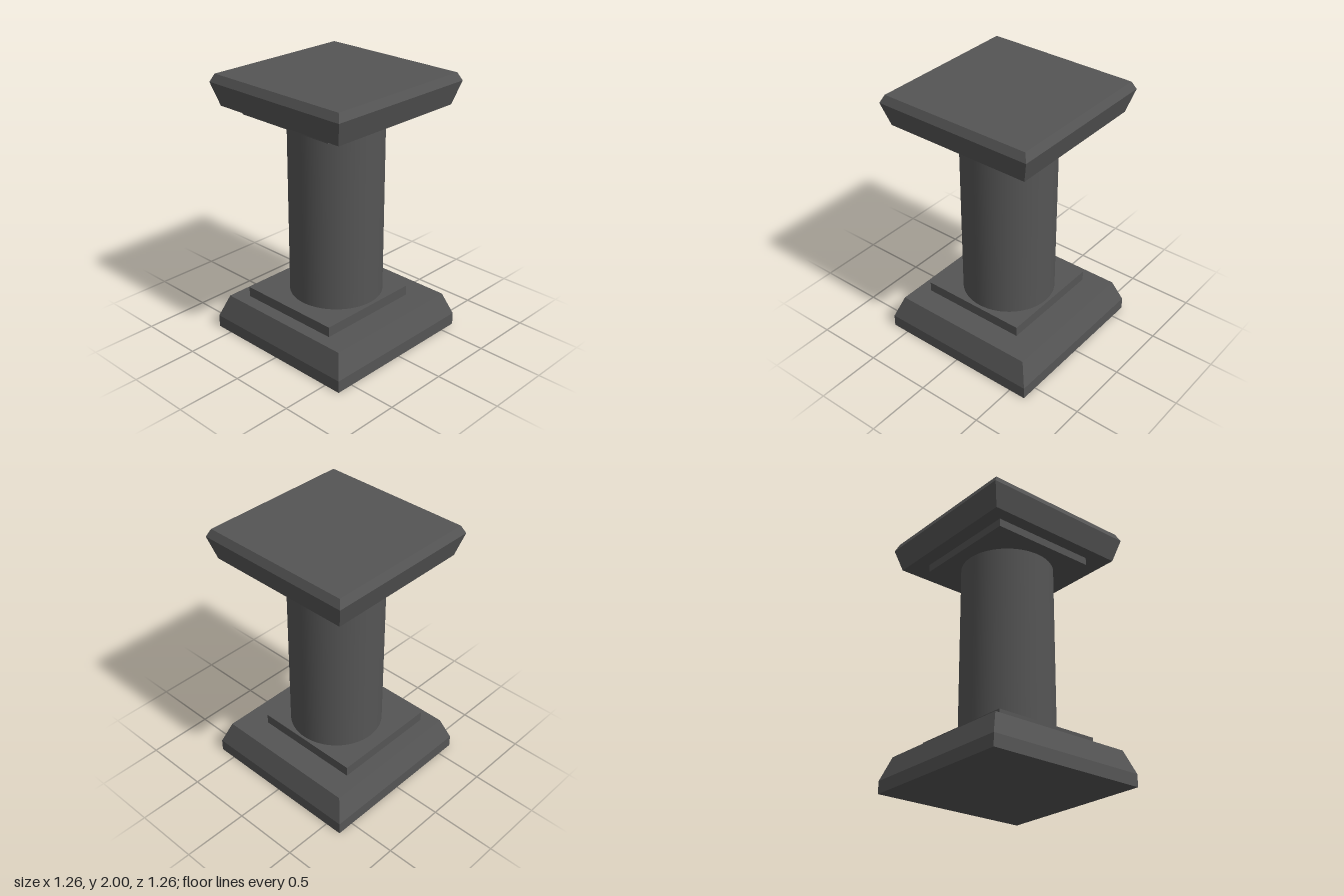
import * as THREE from 'three';

const stone = new THREE.MeshStandardMaterial({ color: 0x555555 });
const flatStone = new THREE.MeshStandardMaterial({ color: 0x555555, flatShading: true });

// Square block from a profile of [half width, y], listed bottom to top
function squareBlock(name, profile) {
  const points = profile.map(([w, y]) => new THREE.Vector2(w * Math.SQRT2, y));
  const mesh = new THREE.Mesh(new THREE.LatheGeometry(points, 4, Math.PI / 4), flatStone);
  mesh.name = name;
  return mesh;
}

// Thin square slab between two heights, set slightly off centre
function slab(name, y0, y1) {
  const mesh = new THREE.Mesh(new THREE.BoxGeometry(0.833, y1 - y0, 0.833), flatStone);
  mesh.position.set(-0.051, (y0 + y1) / 2, -0.037);
  mesh.name = name;
  return mesh;
}

export function createModel() {
  const model = new THREE.Group();
  model.name = 'pedestal';

  // Plinth with sloping shoulders
  model.add(squareBlock('base', [[0, 0], [0.63, 0], [0.63, 0.093], [0.566, 0.265], [0, 0.265]]));
  model.add(slab('lowerSlab', 0.265, 0.342));

  // Round shaft
  const shaft = new THREE.Mesh(new THREE.CylinderGeometry(0.347, 0.347, 1.371, 64), stone);
  shaft.position.set(-0.003, 1.0265, 0.003);
  shaft.name = 'shaft';
  model.add(shaft);

  // Flared capital with a bevelled top edge
  model.add(slab('upperSlab', 1.711, 1.77));
  model.add(squareBlock('capital', [[0, 1.77], [0.564, 1.77], [0.614, 1.942], [0.586, 2], [0, 2]]));

  return model;
}
